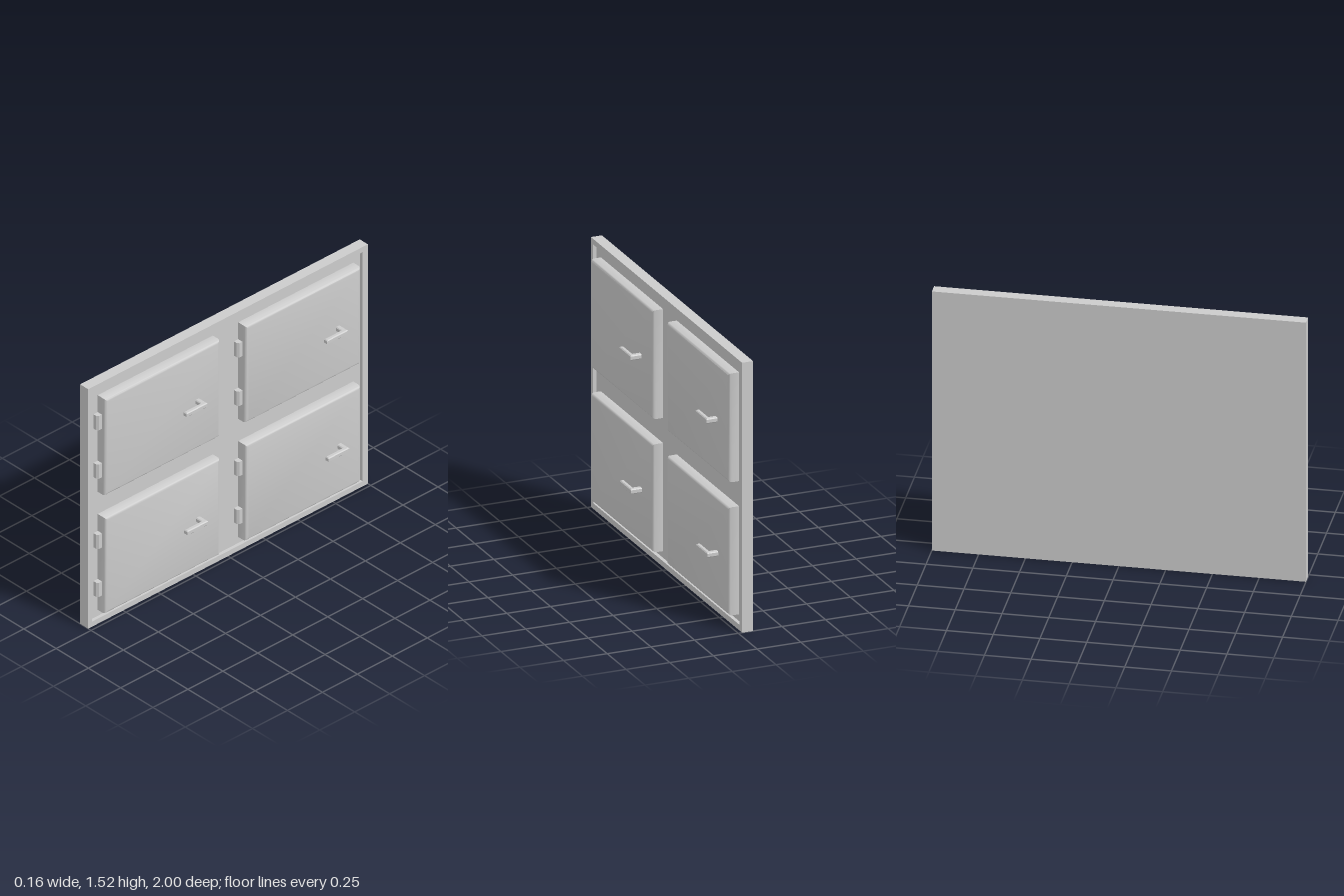
import * as THREE from 'three';
import { toCreasedNormals } from 'three/addons/utils/BufferGeometryUtils.js';

const material = new THREE.MeshStandardMaterial({ color: 0xcccccc });

function rect(path, a0, a1, b0, b1) {
  path.moveTo(a0, b0);
  path.lineTo(a1, b0);
  path.lineTo(a1, b1);
  path.lineTo(a0, b1);
  path.closePath();
  return path;
}

function addMesh(parent, name, geometry) {
  const mesh = new THREE.Mesh(geometry, material);
  mesh.name = name;
  parent.add(mesh);
  return mesh;
}

// Extrudes a (-z, y) outline along +x, from x0 to x1
function extrudeX(shape, x0, x1, bevel = 0) {
  const geometry = new THREE.ExtrudeGeometry(shape, {
    depth: x1 - x0 - 2 * bevel, bevelEnabled: bevel > 0,
    bevelSize: bevel, bevelThickness: bevel, bevelOffset: -bevel, bevelSegments: 4,
  });
  geometry.translate(0, 0, x0 + bevel);
  geometry.rotateY(Math.PI / 2);
  return bevel ? toCreasedNormals(geometry, 0.6) : geometry;
}

// L-shaped pull: a stem out of the door and a bar running towards +z
function handleGeometry() {
  const b = 0.005;
  const shape = new THREE.Shape();
  [[0.005, 0], [0.08, 0], [0.08, -0.15], [0.055, -0.15], [0.055, -0.03], [0.005, -0.03]]
    .reverse()
    .forEach(([x, y], i) => (i ? shape.lineTo(x, y) : shape.moveTo(x, y)));
  shape.closePath();
  const geometry = new THREE.ExtrudeGeometry(shape, {
    depth: 0.028 - 2 * b, bevelEnabled: true,
    bevelSize: b, bevelThickness: b, bevelOffset: -b, bevelSegments: 1,
  });
  geometry.translate(0, 0, -0.014 + b);
  geometry.rotateX(-Math.PI / 2);
  return geometry;
}

// Hinge leaf with a sloped outer edge, centred on y = 0, reaching to +z
function hingeGeometry() {
  const shape = new THREE.Shape();
  shape.moveTo(-0.05, 0.01);
  shape.lineTo(-0.05, -0.031);
  shape.lineTo(-0.02, -0.031);
  shape.lineTo(-0.009, -0.021);
  shape.lineTo(-0.009, 0.01);
  shape.closePath();
  const geometry = new THREE.ExtrudeGeometry(shape, { depth: 0.09, bevelEnabled: false });
  geometry.translate(0, 0, -0.045);
  geometry.rotateX(-Math.PI / 2);
  return geometry;
}

export function createModel() {
  const model = new THREE.Group();
  model.name = 'lockerFront';

  // Back panel and the raised rim around it
  addMesh(model, 'backPanel', extrudeX(rect(new THREE.Shape(), -1, 1, 0, 1.52), -0.085, -0.042));
  const rim = rect(new THREE.Shape(), -1, 1, 0, 1.52);
  rim.holes.push(rect(new THREE.Path(), -0.973, 0.963, 0.032, 1.488));
  addMesh(model, 'rim', extrudeX(rim, -0.042, -0.022));

  // Four doors, each with two hinges on its +z side and one handle
  const handle = handleGeometry();
  const hinge = hingeGeometry();
  const rows = [
    { name: 'lower', y0: 0.07, y1: 0.679, hinges: [0.222, 0.527], handleY: 0.37, handleZ: [0.235, -0.775] },
    { name: 'upper', y0: 0.82, y1: 1.433, hinges: [0.973, 1.281], handleY: 1.121, handleZ: [0.24, -0.765] },
  ];
  for (const row of rows) {
    [0.914, -0.091].forEach((z1, col) => {
      const unit = new THREE.Group();
      unit.name = row.name + (col ? 'Right' : 'Left') + 'Door';
      const outline = rect(new THREE.Shape(), -z1, -z1 + 0.823, row.y0, row.y1);
      addMesh(unit, 'doorLeaf', extrudeX(outline, -0.065, 0.017, 0.018));
      for (const y of row.hinges) addMesh(unit, 'hinge', hinge).position.set(0, y, z1);
      addMesh(unit, 'handle', handle).position.set(0, row.handleY, row.handleZ[col]);
      model.add(unit);
    });
  }
  return model;
}
